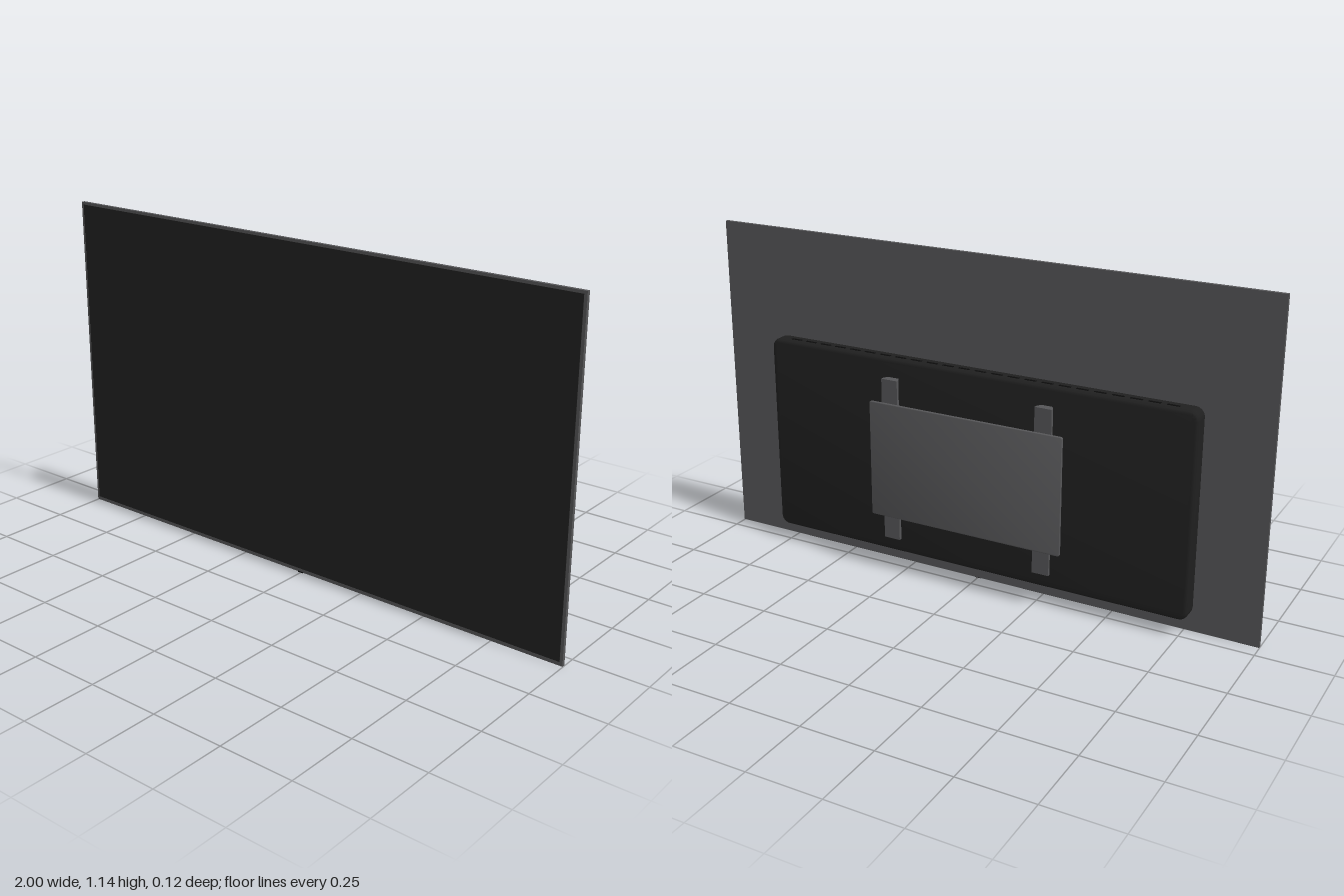
import * as THREE from 'three';
import { toCreasedNormals } from 'three/addons/utils/BufferGeometryUtils.js';

const material = (name, color) => {
  const m = new THREE.MeshStandardMaterial({ color });
  m.name = name;
  return m;
};

function roundedRect(w, h, r) {
  const s = new THREE.Shape();
  const x = w / 2, y = h / 2;
  s.absarc(x - r, y - r, r, 0, Math.PI / 2);
  s.absarc(-x + r, y - r, r, Math.PI / 2, Math.PI);
  s.absarc(-x + r, -y + r, r, Math.PI, Math.PI * 1.5);
  s.absarc(x - r, -y + r, r, Math.PI * 1.5, Math.PI * 2);
  s.closePath();
  return s;
}

// Slab centred on the origin, with rounded corners and softened edges
function slab(w, h, d, r, bevel) {
  const geo = new THREE.ExtrudeGeometry(roundedRect(w - 2 * bevel, h - 2 * bevel, r), {
    depth: d - 2 * bevel, bevelEnabled: true, bevelThickness: bevel,
    bevelSize: bevel, bevelSegments: 4, curveSegments: 5,
  });
  geo.translate(0, 0, -d / 2 + bevel);
  return toCreasedNormals(geo, 0.6);
}

export function createModel() {
  const tv = new THREE.Group();
  tv.name = 'wallTelevision';
  const metal = material('grey metal', 0x555557);
  const screenBlack = material('screen black', 0x212121);
  const plastic = material('black plastic', 0x1f1f1f);
  const slotBlack = material('slot black', 0x0c0c0c);

  const add = (name, geo, mat, x, y, z, parent = tv) => {
    const mesh = new THREE.Mesh(geo, mat);
    mesh.name = name;
    mesh.position.set(x, y, z);
    parent.add(mesh);
    return mesh;
  };
  const box = (w, h, d) => new THREE.BoxGeometry(w, h, d);

  // Thin display panel: metal frame with the screen on its front
  add('panelFrame', box(2, 1.138, 0.012), metal, 0, 0.571, 0.054);
  add('screen', box(1.98, 1.116, 0.002), screenBlack, 0, 0.573, 0.0603);
  add('sensor', box(0.02, 0.004, 0.012), slotBlack, 0, 0.002, 0.055);

  // Electronics housing
  add('housing', slab(1.56, 0.702, 0.064, 0.018, 0.014), plastic, 0, 0.413, 0.017);

  // Vent slots along the top and bottom of the housing
  const vents = new THREE.Group();
  vents.name = 'vents';
  tv.add(vents);
  for (let i = 0; i < 24; i++) {
    const x = -0.69 + i * 0.06;
    add('topVent', box(0.04, 0.003, 0.008), slotBlack, x, 0.764, 0.01, vents);
    add('bottomVent', box(0.04, 0.003, 0.008), slotBlack, x, 0.062, 0.01, vents);
  }

  // Connector recess on the left side
  add('connectorSlot', box(0.003, 0.35, 0.006), slotBlack, 0.78, 0.413, 0.004);

  // Wall bracket: two folded rails on standoffs, carried by one plate
  const bracket = new THREE.Group();
  bracket.name = 'wallBracket';
  tv.add(bracket);
  const profile = new THREE.Shape([
    [-0.03, 0.047], [0.03, 0.047], [0.03, 0.037], [0.02, 0.02], [-0.02, 0.02], [-0.03, 0.037],
  ].map(([x, y]) => new THREE.Vector2(x, y)));
  const railGeo = new THREE.ExtrudeGeometry(profile, { depth: 0.576, bevelEnabled: false });
  railGeo.rotateX(-Math.PI / 2);
  const standoffGeo = new THREE.CylinderGeometry(0.012, 0.012, 0.014, 16).rotateX(Math.PI / 2);
  for (const side of [-1, 1]) {
    add('rail', railGeo, metal, side * 0.283, 0.125, 0, bracket);
    for (const y of [0.21, 0.62]) {
      add('standoff', standoffGeo, plastic, side * 0.278, y, -0.016, bracket);
    }
    for (const y of [0.26, 0.565]) {
      add('hook', box(0.03, 0.02, 0.006), slotBlack, side * 0.283, y, -0.049, bracket);
    }
  }
  add('wallPlate', slab(0.71, 0.41, 0.011, 0.004, 0.002), metal, 0, 0.414, -0.0535, bracket);

  return tv;
}
